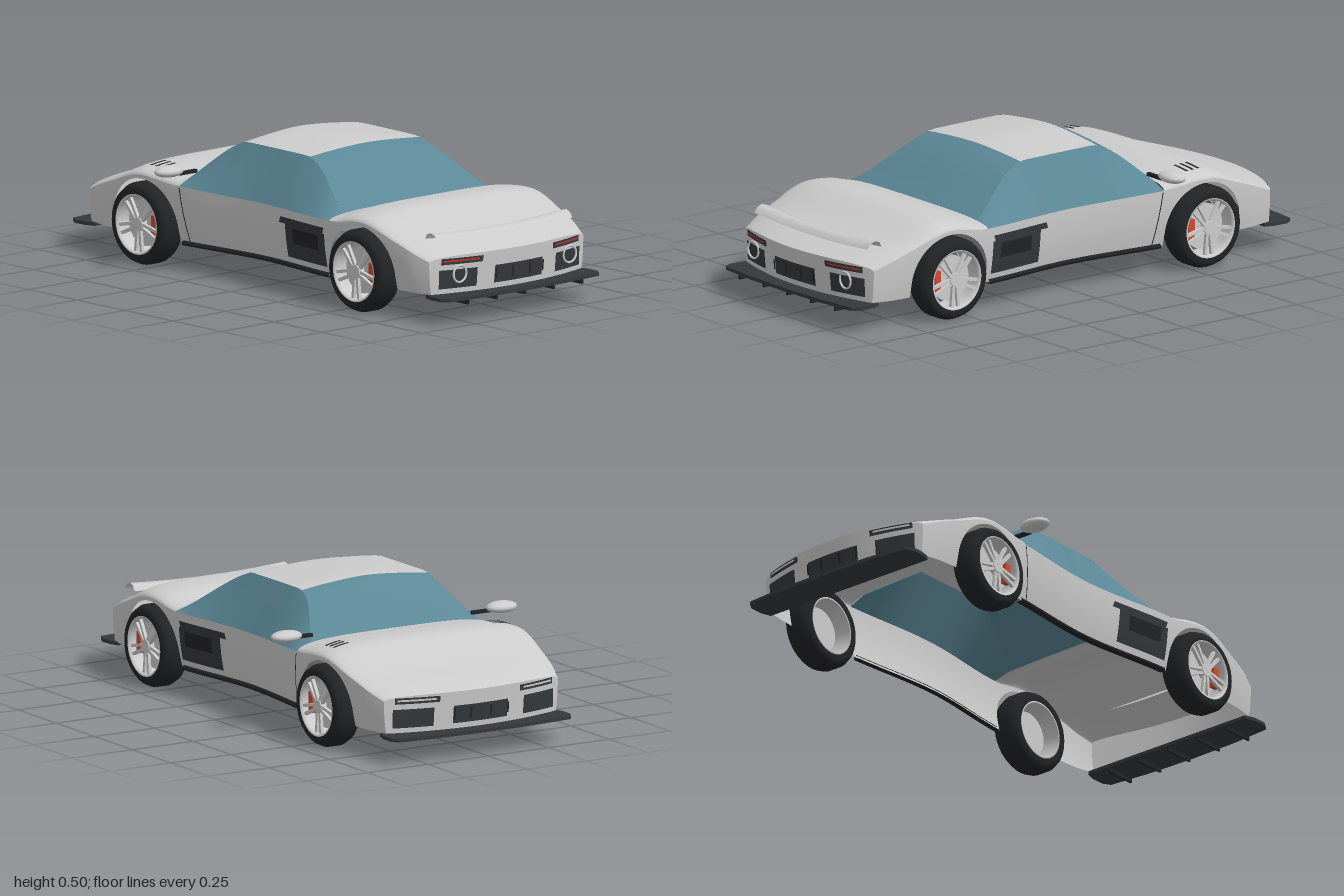
import * as THREE from 'three';

const mat = (color) => new THREE.MeshStandardMaterial({ color, side: THREE.DoubleSide });
const GREY = mat(0xcccccc), DARK = mat(0x35383c), BLACK = mat(0x222325);
const GLASS = mat(0x5b8796), RED = mat(0xb8352a), CALIPER = mat(0xd0492f);

// Smooth monotone curve through [z, value] pairs
function curve(p) {
  const d = p.slice(1).map((q, i) => (q[1] - p[i][1]) / (q[0] - p[i][0]));
  const m = p.map((_, i) => {
    const a = d[Math.max(i - 1, 0)], b = d[Math.min(i, d.length - 1)];
    return a * b <= 0 ? 0 : (2 * a * b) / (a + b);
  });
  return (z) => {
    let i = 0;
    while (i < p.length - 2 && z > p[i + 1][0]) i++;
    const h = p[i + 1][0] - p[i][0];
    const t = THREE.MathUtils.clamp((z - p[i][0]) / h, 0, 1), t2 = t * t, t3 = t2 * t;
    return (2 * t3 - 3 * t2 + 1) * p[i][1] + (t3 - 2 * t2 + t) * h * m[i]
      + (3 * t2 - 2 * t3) * p[i + 1][1] + (t3 - t2) * h * m[i + 1];
  };
}

// Surface from a list of row values and a count of columns
function sheet(rows, cols, fn) {
  const pos = [], idx = [], n = cols + 1;
  rows.forEach((r, i) => {
    for (let j = 0; j <= cols; j++) {
      pos.push(...fn(r, j / cols));
      if (i && j) {
        const a = (i - 1) * n + j - 1, b = i * n + j - 1;
        idx.push(a, b, a + 1, b, b + 1, a + 1);
      }
    }
  });
  const g = new THREE.BufferGeometry();
  g.setAttribute('position', new THREE.Float32BufferAttribute(pos, 3));
  g.setIndex(idx);
  g.computeVertexNormals();
  return g;
}
const range = (a, b, n) => Array.from({ length: n + 1 }, (_, i) => a + ((b - a) * i) / n);
const lerp = THREE.MathUtils.lerp;

// Body measures along z
const END = 0.885, BOW = 0.075, FLOOR = 0.1, ARCH = 0.165, WHEEL_Y = 0.147, AXLES = [-0.56, 0.57];
const width = curve([[-END, 0.36], [-0.8, 0.385], [-0.56, 0.41], [-0.38, 0.4], [0, 0.37], [0.4, 0.406], [0.57, 0.41], [0.8, 0.39], [END, 0.365]]);
const shoulder = curve([[-END, 0.215], [-0.74, 0.27], [-0.56, 0.32], [-0.38, 0.305], [0, 0.3], [0.41, 0.3], [0.57, 0.32], [0.75, 0.27], [END, 0.215]]);
const crown = curve([[-END, 0.235], [-0.73, 0.295], [-0.57, 0.36], [-0.5, 0.358], [-0.38, 0.343], [0.41, 0.325], [0.52, 0.357], [0.6, 0.36], [0.75, 0.295], [END, 0.237]]);
const sideX = (z, y) => width(z) - 0.025 * Math.max(0, (shoulder(z) - y) / 0.2) ** 2;
const deckY = (z, u) => lerp(shoulder(z), crown(z), Math.sqrt(Math.max(0, 1 - u ** 4)));
const bow = (z, u) => Math.sign(z) * BOW * (1 - u * u) * THREE.MathUtils.smoothstep(Math.abs(z), 0.6, END);
function lowerEdge(z) {
  for (const a of AXLES) {
    const q = 1 - ((z - a) / ARCH) ** 2;
    if (q >= -1e-6) return WHEEL_Y + 0.16 * Math.sqrt(Math.max(0, q));
  }
  return FLOOR;
}
// Point on an end face, s = +1 rear or -1 nose
function endPoint(s, x, y, out = 0) {
  const u = x / sideX(s * END, y), k = 1 - u * u;
  return [x, y, s * (END + BOW * k - 0.12 * k * Math.max(0, 0.235 - y) + out)];
}

// Cabin measures along z
const cornerX = curve([[-0.38, 0.34], [-0.19, 0.262], [0.15, 0.262], [0.41, 0.345]]);
const cornerY = curve([[-0.38, 0.331], [-0.22, 0.46], [-0.17, 0.476], [0.13, 0.474], [0.18, 0.46], [0.41, 0.317]]);
const roofY = curve([[-0.38, 0.343], [-0.22, 0.485], [-0.17, 0.498], [0.13, 0.49], [0.18, 0.475], [0.41, 0.325]]);

export function createModel() {
  const car = new THREE.Group();
  const add = (name, geo, m, parent = car) => {
    const mesh = new THREE.Mesh(geo, m);
    mesh.name = name;
    parent.add(mesh);
    return mesh;
  };
  const box = (name, m, w, h, d, x, y, z, parent) => {
    const b = add(name, new THREE.BoxGeometry(w, h, d), m, parent);
    b.position.set(x, y, z);
    return b;
  };

  // Hood, rear deck and roof panels
  const deck = (z, v) => {
    const u = Math.sin((v - 0.5) * Math.PI);
    return [u * width(z), deckY(z, u), z + bow(z, u)];
  };
  add('hood', sheet(range(-END, -0.38, 24), 32, deck), GREY);
  add('rearDeck', sheet(range(0.41, END, 24), 32, deck), GREY);
  const cabinTop = (z, v) => {
    const u = 2 * v - 1;
    return [u * cornerX(z), lerp(cornerY(z), roofY(z), 1 - Math.abs(u) ** 1.6), z];
  };
  add('windshield', sheet(range(-0.38, -0.19, 12), 16, cabinTop), GLASS);
  add('roof', sheet(range(-0.19, 0.15, 12), 16, cabinTop), GREY);
  add('rearWindow', sheet(range(0.15, 0.41, 12), 16, cabinTop), GLASS);

  // Body sides, with open wheel arches
  const stations = [-END, END, ...range(-0.38, 0.39, 16), ...range(-0.86, -0.74, 4), ...range(0.75, 0.86, 4)];
  for (const a of AXLES) {
    stations.push(a - ARCH - 0.001, a + ARCH + 0.001);
    range(0, Math.PI, 24).forEach((t) => stations.push(a + ARCH * Math.cos(t)));
  }
  stations.sort((a, b) => a - b);
  for (const s of [-1, 1]) {
    add('bodySide', sheet(stations, 6, (z, v) => {
      const y = lerp(lowerEdge(z), shoulder(z), v);
      return [s * sideX(z, y), y, z];
    }), GREY);
    add('sideWindow', sheet(range(-0.38, 0.41, 32), 4, (z, v) =>
      [s * lerp(width(z), cornerX(z), v), lerp(shoulder(z), cornerY(z), v), z]), GLASS);
    add('sill', sheet(range(-0.38, 0.39, 16), 3, (z, v) =>
      [s * (sideX(z, FLOOR) + [-0.012, 0.01, 0.01, 0][Math.round(v * 3)]), [0.093, 0.093, 0.104, 0.11][Math.round(v * 3)], z]), BLACK);
    // Panels lying on the flank
    const flank = (name, z0, z1, y0, y1, out, m, lean = 0) => add(name, sheet(range(z0, z1, 10), 4, (z, v) => {
      const y = lerp(y0, y1, v), zz = z + lean * v;
      return [s * (sideX(zz, y) + out), y, zz];
    }), m);
    flank('sideIntake', 0.155, 0.385, 0.13, 0.25, 0.004, DARK);
    flank('sideIntakeTop', 0.12, 0.375, 0.25, 0.272, 0.004, DARK, 0.008);
    flank('sideIntakeOpening', 0.2, 0.35, 0.185, 0.24, 0.007, BLACK);
    flank('doorSeam', -0.347, -0.343, 0.11, 0.3, 0.002, BLACK, -0.03);

    // Mirrors and fender slits
    const mirror = add('mirror', new THREE.SphereGeometry(1, 24, 14), GREY);
    mirror.scale.set(0.06, 0.021, 0.04);
    mirror.position.set(s * 0.445, 0.365, -0.38);
    box('mirrorArm', BLACK, 0.08, 0.012, 0.014, s * 0.37, 0.354, -0.365);
    for (const z of [-0.508, -0.533, -0.558]) {
      add('fenderSlit', sheet(range(0.3, 0.365, 6), 1, (x, v) =>
        [s * x, deckY(z, x / width(z)) + 0.005, z + (v - 0.5) * 0.011 - (x - 0.33) * 0.1]), BLACK);
    }
  }

  // Nose and tail faces
  for (const s of [-1, 1]) {
    const end = s > 0 ? 'tail' : 'nose';
    add(end + 'Face', sheet(range(-Math.PI / 2, Math.PI / 2, 32), 6, (a, v) => {
      const u = Math.sin(a), y = lerp(FLOOR, deckY(s * END, u), v);
      return endPoint(s, u * sideX(s * END, y), y);
    }), GREY);
    const patch = (name, x0, x1, y0, y1, out, m, rise = 0) => add(name, sheet(range(x0, x1, 8), 3, (x, v) =>
      endPoint(s, x, lerp(y0, y1, v) - rise * Math.abs(x), out)), m);
    patch(end + 'Grille', -0.112, 0.112, 0.12, 0.184, 0.004, DARK);
    for (const x of [-0.11, -0.037, 0.045, 0.11]) patch(end + 'GrilleBar', x - 0.004, x + 0.004, 0.135, 0.175, 0.01, BLACK);
    for (const side of [-1, 1]) {
      patch(end + 'Vent', side * 0.185, side * 0.332, 0.118, 0.185, 0.004, DARK);
      patch(end + 'LightSurround', side * 0.165, side * 0.325, 0.204, 0.226, 0.004, DARK);
      patch(end + 'Light', side * 0.18, side * 0.318, 0.213, 0.22, 0.007, s > 0 ? RED : GREY);
      if (s > 0) {
        const pipe = add('exhaustRing', new THREE.TorusGeometry(0.03, 0.004, 8, 28), GREY);
        pipe.position.set(...endPoint(1, side * 0.26, 0.17, 0.012));
      }
    }
    // Splitter plate under each end
    const half = [[0.36, 0.86], [0.372, 0.9], [0.372, 0.95], [0.355, 0.978], [0.2, 0.992], [0, 0.998]];
    const outline = [...half, ...half.slice(0, -1).reverse().map(([x, z]) => [-x, z])];
    const shape = new THREE.Shape(outline.map(([x, z]) => new THREE.Vector2(x, -s * z)));
    const plate = new THREE.ExtrudeGeometry(shape, { depth: 0.012, bevelEnabled: false });
    plate.rotateX(-Math.PI / 2);
    add(end + 'Splitter', plate, DARK).position.y = 0.086;
  }
  for (const x of [-0.27, -0.135, 0, 0.135, 0.27]) box('diffuserFin', BLACK, 0.008, 0.018, 0.12, x, 0.079, 0.925);

  // Rear spoiler: curved strip over the deck
  const lip = [[0.815, 0.285], [0.825, 0.304], [0.845, 0.309], [0.865, 0.302], [0.878, 0.284]];
  add('spoiler', sheet(range(-0.32, 0.32, 20), 4, (x, v) => {
    const [z, y] = lip[Math.round(v * 4)], k = 1 - (x / 0.32) ** 2;
    return [x, y - 0.012 * k, z + 0.004 * k];
  }), GREY);

  // Wheels
  const turned = (pts, n = 40) => new THREE.LatheGeometry(pts.map(([r, x]) => new THREE.Vector2(r, x)), n).rotateZ(-Math.PI / 2);
  const tyre = turned([[0.105, -0.05], [0.125, -0.054], [0.138, -0.042], [0.147, -0.022], [0.147, 0.022], [0.138, 0.042], [0.125, 0.054], [0.105, 0.05]]);
  const rim = turned([[0.1, -0.05], [0.106, -0.05], [0.1, 0.02], [0.098, 0.042], [0.102, 0.052], [0.108, 0.052]]);
  const disc = new THREE.CylinderGeometry(0.082, 0.082, 0.008, 32).rotateZ(Math.PI / 2);
  const hub = new THREE.CylinderGeometry(0.024, 0.028, 0.022, 20).rotateZ(-Math.PI / 2);
  for (const s of [-1, 1]) {
    for (const z of AXLES) {
      const wheel = new THREE.Group();
      wheel.name = 'wheel';
      wheel.position.set(s * 0.384, WHEEL_Y, z);
      wheel.rotation.y = s > 0 ? 0 : Math.PI;
      car.add(wheel);
      add('tyre', tyre, BLACK, wheel);
      add('rim', rim, GREY, wheel);
      add('brakeDisc', disc, GREY, wheel).position.x = 0.008;
      add('hub', hub, GREY, wheel).position.x = 0.036;
      box('caliper', CALIPER, 0.02, 0.075, 0.026, 0.022, 0, s * 0.068, wheel);
      for (let i = 0; i < 5; i++) {
        const arm = new THREE.Group();
        arm.name = 'spoke';
        arm.rotation.x = (i / 5) * Math.PI * 2 + s * 0.63;
        for (const k of [-1, 1]) {
          box('spokeBar', GREY, 0.012, 0.088, 0.011, 0.038, 0.06, k * 0.011, arm).rotation.x = k * 0.1;
        }
        wheel.add(arm);
      }
    }
  }
  return car;
}
